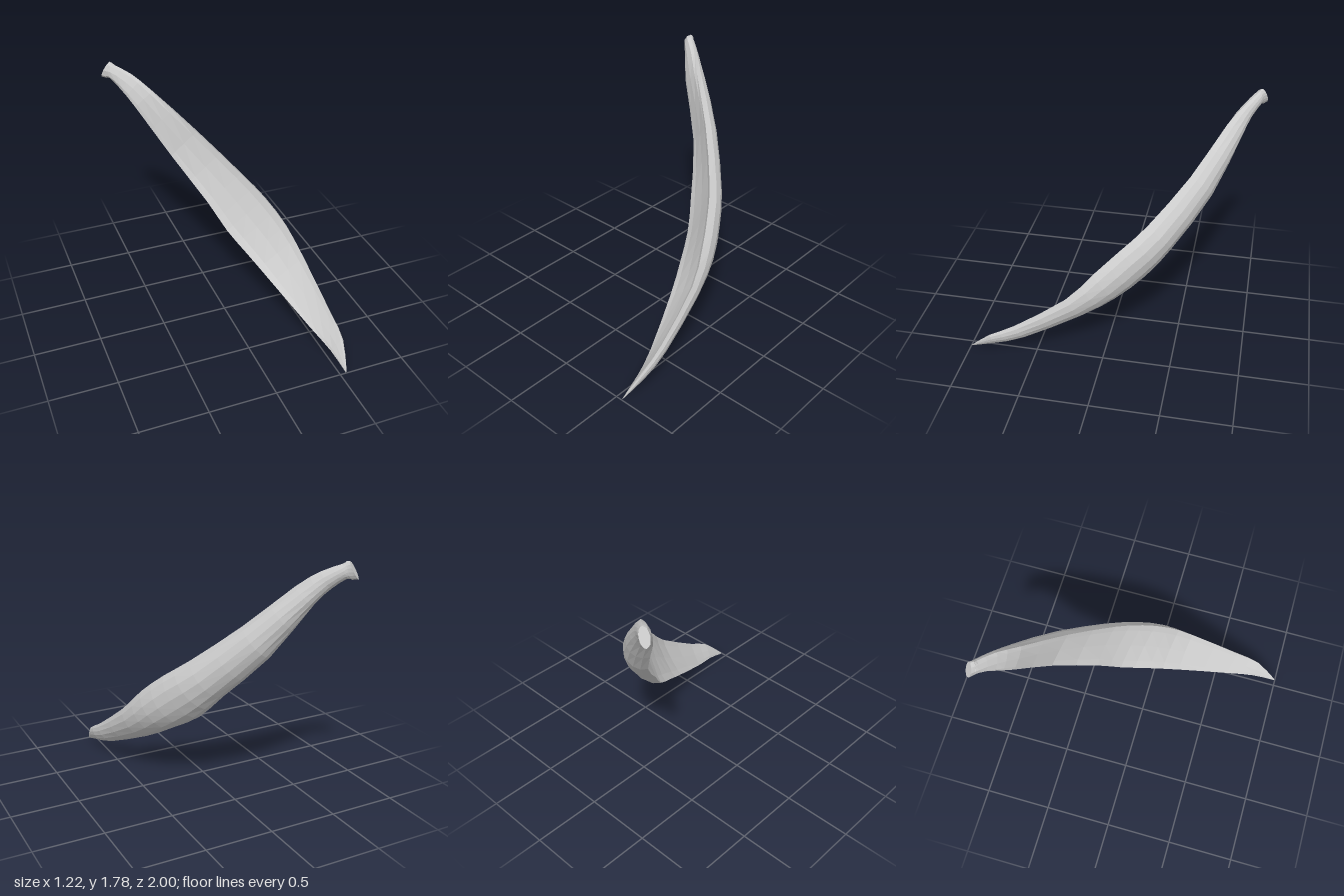
import * as THREE from 'three';

// Stations from stem to tip: upper rim, lower rim, back depth, face bulge
const STATIONS = [
  [[-0.545, 1.785, -0.965], [-0.605, 1.665, -0.99], 0.035, 0.035],
  [[-0.53, 1.78, -0.945], [-0.575, 1.66, -0.965], 0.035, 0.035],
  [[-0.515, 1.765, -0.935], [-0.555, 1.665, -0.935], 0.045, 0.035],
  [[-0.41, 1.71, -0.85], [-0.5, 1.6, -0.855], 0.07, 0.025],
  [[-0.29, 1.6, -0.74], [-0.42, 1.48, -0.765], 0.11, 0.01],
  [[-0.02, 1.31, -0.53], [-0.2, 1.1, -0.61], 0.13, -0.005],
  [[0.24, 1.03, -0.27], [0, 0.78, -0.35], 0.16, -0.015],
  [[0.365, 0.885, -0.1], [0.1, 0.59, -0.2], 0.16, -0.015],
  [[0.465, 0.725, 0.075], [0.2, 0.46, 0], 0.16, -0.015],
  [[0.535, 0.535, 0.26], [0.3, 0.33, 0.22], 0.12, -0.015],
  [[0.585, 0.275, 0.64], [0.45, 0.14, 0.6], 0.075, -0.005],
  [[0.593, 0.17, 0.83], [0.515, 0.07, 0.81], 0.045, 0.005],
  [[0.553, 0.012, 0.995], [0.547, 0.004, 0.992], 0.002, 0.002],
];
const BACK = 8, FACE = 4, SIDES = BACK + FACE;

// Smooth curve through one quantity of the stations
const curve = (pick) => new THREE.CatmullRomCurve3(
  STATIONS.map((s) => new THREE.Vector3(...pick(s))), false, 'catmullrom', 0.5);

function podGeometry(t0, t1, steps, closeStart) {
  const upper = curve((s) => s[0]);
  const lower = curve((s) => s[1]);
  const depth = curve((s) => [s[2], s[3], 0]);
  const middle = (t) => upper.getPoint(t).add(lower.getPoint(t)).multiplyScalar(0.5);
  const pos = [], index = [];

  for (let i = 0; i <= steps; i++) {
    const t = t0 + (t1 - t0) * i / steps;
    const c = middle(t);
    const u = upper.getPoint(t).sub(c);
    const along = middle(Math.min(1, t + 0.03)).sub(middle(Math.max(0, t - 0.03)));
    const n = u.clone().cross(along).normalize();
    const d = depth.getPoint(t);
    for (let k = 0; k < SIDES; k++) {
      // Rounded back, then the nearly flat face
      const a = k < BACK ? Math.PI * k / BACK : Math.PI * (1 + (k - BACK) / FACE);
      const off = Math.sin(a) * (k < BACK ? d.x : d.y);
      const p = c.clone().addScaledVector(u, Math.cos(a)).addScaledVector(n, off);
      pos.push(p.x, Math.max(0, p.y), p.z);
    }
  }
  for (let i = 0; i < steps; i++) {
    for (let k = 0; k < SIDES; k++) {
      const a = i * SIDES + k, b = i * SIDES + (k + 1) % SIDES;
      index.push(a, a + SIDES, b, b, a + SIDES, b + SIDES);
    }
  }
  // Cut end of the stem
  if (closeStart) for (let k = 1; k < SIDES - 1; k++) index.push(0, k, k + 1);

  const g = new THREE.BufferGeometry();
  g.setAttribute('position', new THREE.Float32BufferAttribute(pos, 3));
  g.setIndex(index);
  g.computeVertexNormals();
  return g;
}

export function createModel() {
  const group = new THREE.Group();
  group.name = 'pod';
  const material = new THREE.MeshStandardMaterial({
    color: 0xcccccc, flatShading: true, side: THREE.DoubleSide,
  });
  const add = (name, ...args) => {
    const mesh = new THREE.Mesh(podGeometry(...args), material);
    mesh.name = name;
    group.add(mesh);
  };
  const last = STATIONS.length - 1;
  add('stem', 0, 3 / last, 6, true);
  add('body', 3 / last, 1, 18, false);
  return group;
}
